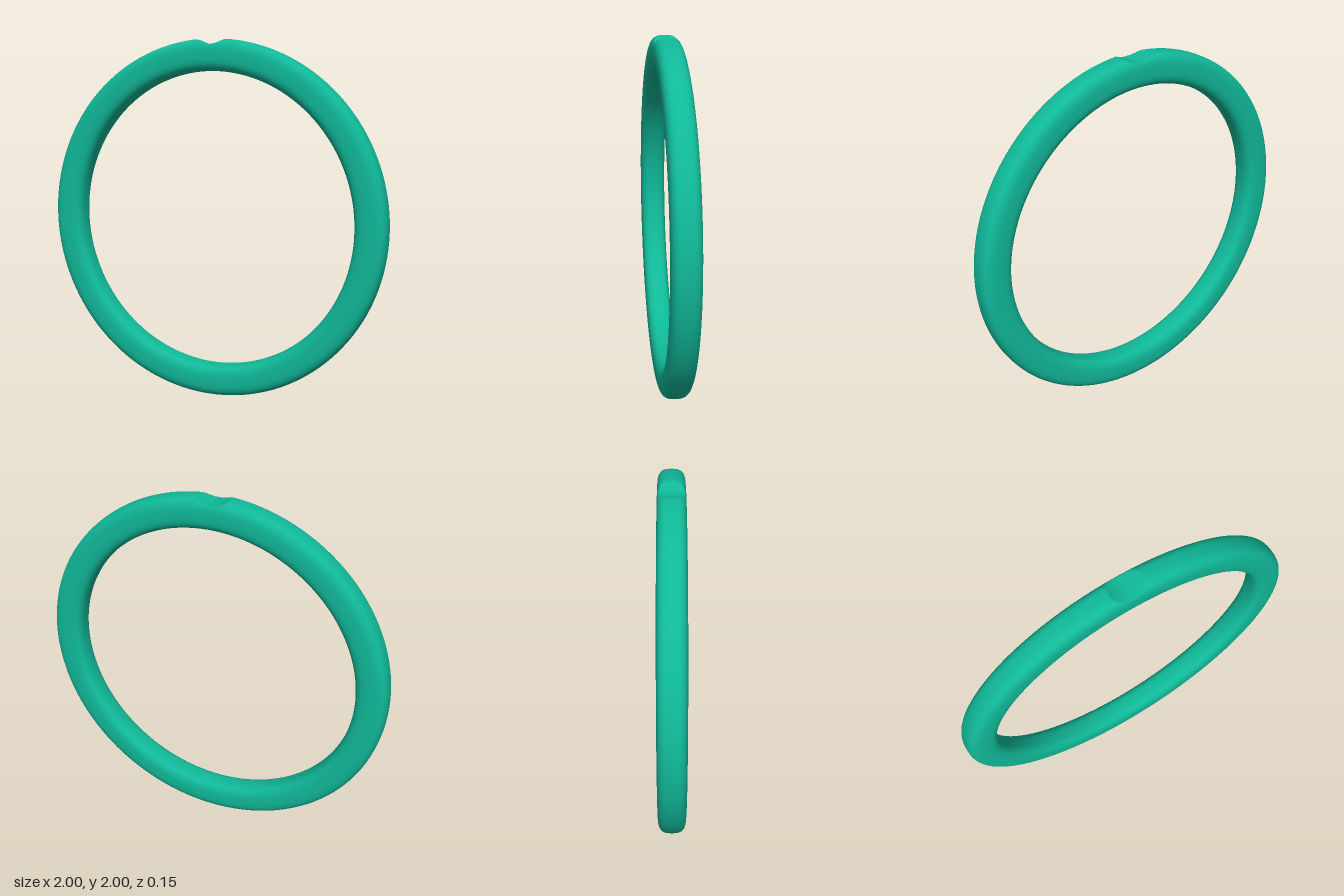
import * as THREE from 'three';

const MID = 0.9125, HALF_R = 0.0875, HALF_Z = 0.075; // ring centreline and section
const SEG = 256, SIDES = 64;

// Squarish oval cross-section: distance from its centre at angle phi
function sectionRadius(phi, n = 3) {
  const c = Math.abs(Math.cos(phi)) / HALF_R, s = Math.abs(Math.sin(phi)) / HALF_Z;
  return Math.pow(c ** n + s ** n, -1 / n);
}

// Height of the round scoop cut across the top of the ring
function scoopHeight(x) {
  const R = 0.16, floor = 1.968;
  return Math.abs(x) < R ? floor + R - Math.sqrt(R * R - x * x) : Infinity;
}

function ringGeometry() {
  const pos = [], index = [];
  for (let i = 0; i < SEG; i++) {
    // angle from the top, with denser rings around the scoop
    const t = (i / SEG) * Math.PI * 2 - Math.PI;
    const a = t - 0.8 * Math.sin(t);
    for (let j = 0; j < SIDES; j++) {
      const phi = (j / SIDES) * Math.PI * 2;
      const d = sectionRadius(phi);
      const r = MID + d * Math.cos(phi);
      const x = r * Math.sin(a);
      const y = Math.min(1 + r * Math.cos(a), Math.cos(a) > 0 ? scoopHeight(x) : Infinity);
      pos.push(x, y, d * Math.sin(phi));

      const i2 = (i + 1) % SEG, j2 = (j + 1) % SIDES;
      const p = i * SIDES + j, q = i * SIDES + j2, u = i2 * SIDES + j, v = i2 * SIDES + j2;
      index.push(p, q, u, q, v, u);
    }
  }
  const g = new THREE.BufferGeometry();
  g.setAttribute('position', new THREE.Float32BufferAttribute(pos, 3));
  g.setIndex(index);
  g.computeVertexNormals();
  return g;
}

export function createModel() {
  const group = new THREE.Group();
  group.name = 'notchedRing';
  const ring = new THREE.Mesh(ringGeometry(), new THREE.MeshStandardMaterial({ color: 0x10b898 }));
  ring.name = 'ring';
  group.add(ring);
  return group;
}
